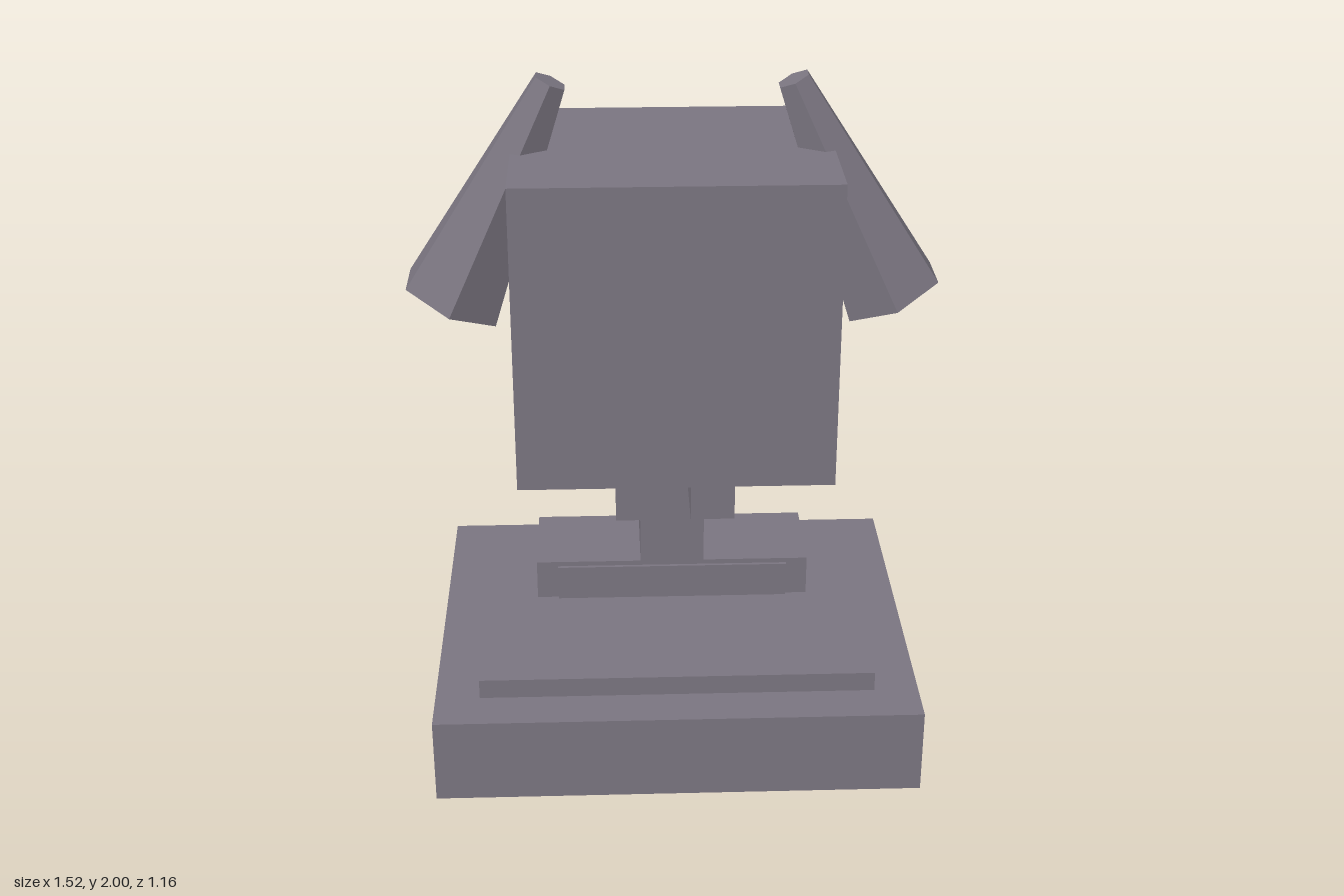
import * as THREE from 'three';

export function createModel() {
  const model = new THREE.Group();
  model.name = 'pedestalFigure';

  const stone = new THREE.MeshStandardMaterial({ color: 0x7a7580 });
  stone.name = 'greyStone';

  // Adds a box given by its min and max along each axis
  function addBox(name, [x0, x1], [y0, y1], [z0, z1]) {
    const mesh = new THREE.Mesh(new THREE.BoxGeometry(x1 - x0, y1 - y0, z1 - z0), stone);
    mesh.position.set((x0 + x1) / 2, (y0 + y1) / 2, (z0 + z1) / 2);
    mesh.name = name;
    model.add(mesh);
  }

  // Stepped pedestal
  addBox('base', [-0.71, 0.71], [0, 0.26], [-0.58, 0.58]);
  addBox('baseStep', [-0.58, 0.58], [0.26, 0.32], [-0.45, 0.45]);

  // Plinth with a thin front panel, and the post standing on it
  addBox('plinth', [-0.42, 0.42], [0.32, 0.445], [-0.3, -0.01]);
  addBox('plinthPanel', [-0.355, 0.355], [0.32, 0.43], [-0.01, 0]);
  addBox('post', [-0.098, 0.098], [0.445, 0.775], [-0.265, -0.01]);

  // Head block
  addBox('head', [-0.452, 0.452], [0.897, 1.797], [-0.355, 0.355]);

  // Mirrored rails under the head and tapered six-sided ears
  for (const side of [-1, 1]) {
    const label = side > 0 ? 'left' : 'right';
    const edges = [0.045 * side, 0.173 * side].sort((a, b) => a - b);
    addBox(label + 'Rail', edges, [0.74, 0.897], [-0.256, 0.26]);

    const ear = new THREE.Mesh(
      new THREE.CylinderGeometry(0.05, 0.16, 0.707, 6).toNonIndexed(), stone);
    ear.geometry.computeVertexNormals(); // faceted sides
    ear.position.set(0.486 * side, 1.663, 0);
    ear.rotation.z = side * THREE.MathUtils.degToRad(25);
    ear.name = label + 'Ear';
    model.add(ear);
  }

  return model;
}
